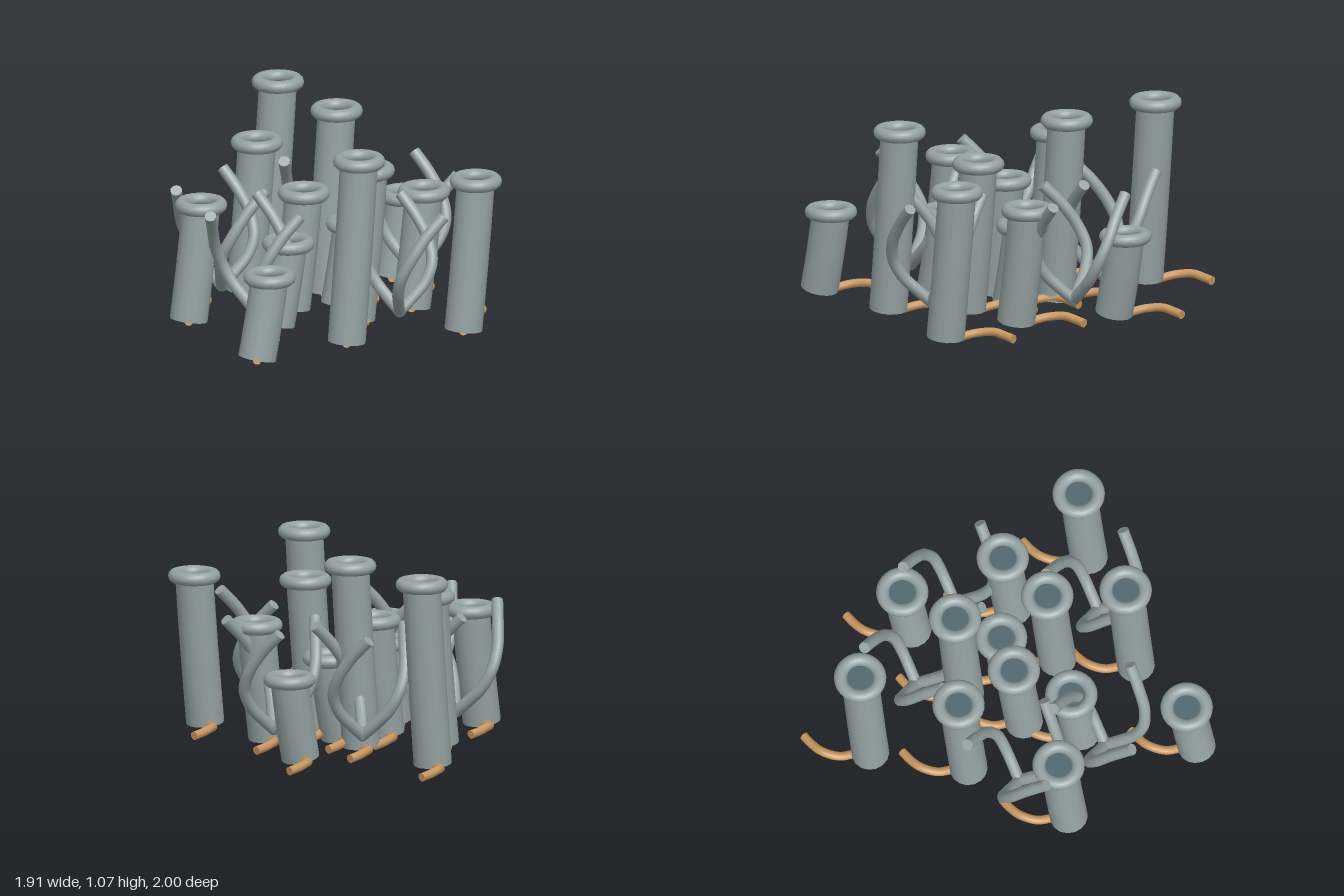
import * as THREE from 'three';

const grey = new THREE.MeshStandardMaterial({ color: 0x95a2a2, side: THREE.DoubleSide });
grey.name = 'grey';
const darkTeal = new THREE.MeshStandardMaterial({ color: 0x4f666d, side: THREE.DoubleSide });
darkTeal.name = 'darkTeal';
const tan = new THREE.MeshStandardMaterial({ color: 0xc8965f, side: THREE.DoubleSide });
tan.name = 'tan';

const v = (x, y, z) => new THREE.Vector3(x, y, z);

function add(parent, name, geometry, material) {
  const mesh = new THREE.Mesh(geometry, material);
  mesh.name = name;
  parent.add(mesh);
  return mesh;
}

// Round rod along a curve, closed with a disc at its tip
function addRod(parent, name, points, radius, material) {
  const curve = new THREE.CatmullRomCurve3(points);
  add(parent, name, new THREE.TubeGeometry(curve, 28, radius, 10), material);
  const tip = add(parent, name + 'Tip', new THREE.CircleGeometry(radius, 10), material);
  tip.position.copy(curve.getPoint(1));
  tip.quaternion.setFromUnitVectors(v(0, 0, 1), curve.getTangent(1));
}

// Leaning hollow stalk with a rounded lip, dark mouth and curled root
function makeStalk(x, z, height) {
  const stalk = new THREE.Group();
  stalk.name = 'stalk';
  const lean = -0.085;
  const axis = new THREE.QuadraticBezierCurve3(
    v(lean, 0.04, 0), v(-0.032, height * 0.56, 0), v(0, height, 0));
  add(stalk, 'stalkTube', new THREE.TubeGeometry(axis, 16, 0.103, 16), grey);

  const lip = add(stalk, 'lip', new THREE.TorusGeometry(0.106, 0.036, 12, 28), grey);
  lip.rotation.x = Math.PI / 2;
  lip.position.y = height;

  const mouth = add(stalk, 'mouth', new THREE.CircleGeometry(0.1, 20), darkTeal);
  mouth.rotation.x = -Math.PI / 2;
  mouth.position.y = height - 0.015;

  addRod(stalk, 'root', [
    v(lean, 0.026, 0), v(lean + 0.045, 0.034, -0.06), v(lean + 0.09, 0.05, -0.145),
    v(lean + 0.17, 0.06, -0.2), v(lean + 0.24, 0.05, -0.212), v(lean + 0.305, 0.042, -0.212),
  ], 0.024, tan);

  stalk.position.set(x, 0, z);
  return stalk;
}

// Three arms twisting upward from one joint; each point is [angle, radius, height]
const ARM = [[12, 0, 0.15], [12, 0.08, 0.22], [11, 0.15, 0.29], [6, 0.205, 0.39],
  [-8, 0.225, 0.5], [-29, 0.235, 0.62], [-51, 0.28, 0.73]];

function makeBranch(x, z) {
  const branch = new THREE.Group();
  branch.name = 'branch';
  for (let i = 0; i < 3; i++) {
    const points = ARM.map(([deg, r, y]) => {
      const a = THREE.MathUtils.degToRad(deg + i * 120);
      return v(r * Math.cos(a), y, r * Math.sin(a));
    });
    addRod(branch, 'branchArm', points, 0.032, grey);
  }
  add(branch, 'branchJoint', new THREE.SphereGeometry(0.033, 12, 8), grey).position.y = 0.15;
  branch.position.set(x, 0, z);
  return branch;
}

export function createModel() {
  const model = new THREE.Group();
  model.name = 'stalkCluster';

  // Stalks: lip centre x, z and height
  const stalks = [
    [0.35, -0.775, 1.04], [0.275, -0.165, 1.04], [-0.2, 0.64, 1.04],
    [-0.063, -0.43, 0.86], [0.1, 0.34, 0.86], [0.435, 0.85, 0.86],
    [-0.625, -0.2, 0.67], [-0.055, -0.03, 0.67], [0.475, 0.345, 0.67],
    [-0.77, 0.585, 0.48], [-0.31, 0.16, 0.48], [0.185, 0.085, 0.48], [0.73, -0.15, 0.48],
  ];
  for (const [x, z, h] of stalks) model.add(makeStalk(x, z, h));

  // Branches between the stalks
  const branches = [[-0.41, -0.295], [0.375, -0.355], [-0.555, 0.19], [0.59, 0.105], [0.058, 0.665]];
  for (const [x, z] of branches) model.add(makeBranch(x, z));

  return model;
}
